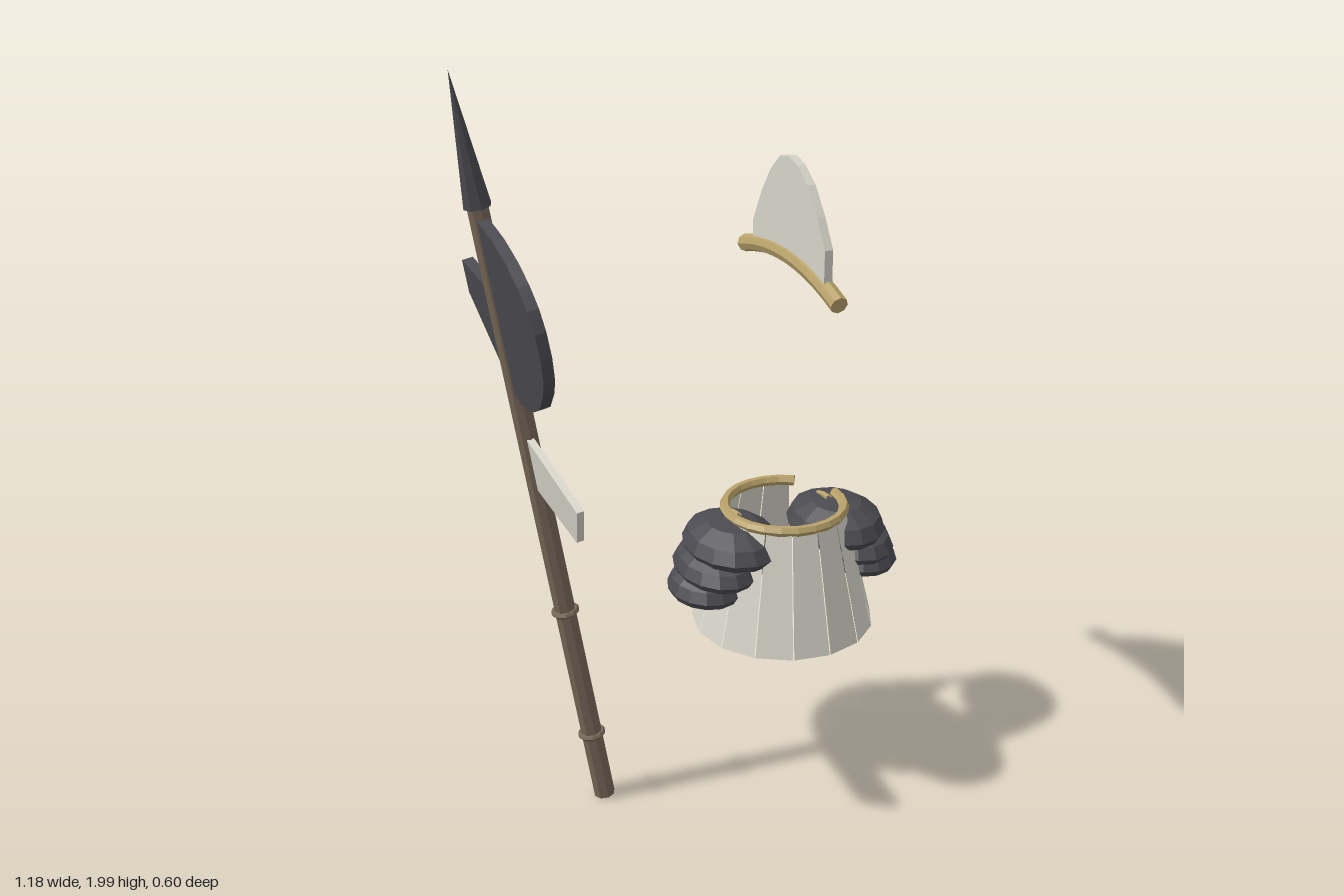
import * as THREE from 'three';

const mat = (name, color) => {
  const m = new THREE.MeshStandardMaterial({ color, flatShading: true, side: THREE.DoubleSide });
  m.name = name;
  return m;
};
const RAD = Math.PI / 180;
const MID_X = 0.26, MID_Z = -0.035; // axis of the armour

export function createModel() {
  const ivory = mat('ivory', 0xd6d4c9);
  const dark = mat('darkSteel', 0x4b4a50);
  const gold = mat('brass', 0xb8a26a);
  const wood = mat('wood', 0x776858);

  const model = new THREE.Group();
  model.name = 'armourAndPolearm';

  const add = (parent, name, geometry, material, x = 0, y = 0, z = 0) => {
    const mesh = new THREE.Mesh(geometry, material);
    mesh.name = name;
    mesh.position.set(x, y, z);
    parent.add(mesh);
    return mesh;
  };

  // Flat plate from (z, y) outline points, centred on x = 0
  const plate = (points, thickness) => {
    const shape = new THREE.Shape(points.map(([z, y]) => new THREE.Vector2(z, y)));
    const g = new THREE.ExtrudeGeometry(shape, { depth: thickness, bevelEnabled: false });
    return g.translate(0, 0, -thickness / 2).rotateY(-Math.PI / 2);
  };

  // Polearm, leaning towards -x
  const polearm = new THREE.Group();
  polearm.name = 'polearm';
  polearm.position.set(-0.262, 0.006, MID_Z);
  polearm.rotation.z = 0.165;
  model.add(polearm);
  add(polearm, 'shaft', new THREE.CylinderGeometry(0.026, 0.028, 1.7, 8), wood, 0, 0.85);
  add(polearm, 'spearHead', new THREE.ConeGeometry(0.034, 0.325, 8), dark, 0, 1.855);
  for (const y of [0.2, 0.585]) {
    add(polearm, 'shaftRing', new THREE.TorusGeometry(0.029, 0.008, 6, 10).rotateX(Math.PI / 2), wood, 0, y);
  }
  add(polearm, 'axeBlade', plate([
    [0, 1.225], [0.065, 1.207], [0.15, 1.222], [0.215, 1.255], [0.27, 1.31], [0.3, 1.355], [0.315, 1.42],
    [0.31, 1.48], [0.29, 1.53], [0.25, 1.575], [0.195, 1.613], [0.12, 1.645], [0, 1.67],
  ], 0.028), dark);
  add(polearm, 'backSpike', plate([
    [0, 1.24], [-0.03, 1.265], [-0.205, 1.412], [-0.205, 1.497], [0, 1.48],
  ], 0.028), dark);
  add(polearm, 'pennant', plate([
    [0, 0.955], [0.28, 0.927], [0.335, 1.033], [0, 1.098],
  ], 0.018), ivory);

  // Helmet crest above a curved brim
  const helmet = new THREE.Group();
  helmet.name = 'helmet';
  helmet.position.set(MID_X, 0, 0);
  model.add(helmet);
  add(helmet, 'crest', plate([
    [0.175, 1.43], [0.175, 1.525], [0.13, 1.595], [0.075, 1.66], [0.02, 1.695], [-0.027, 1.706],
    [-0.075, 1.695], [-0.125, 1.65], [-0.175, 1.58], [-0.223, 1.49], [-0.223, 1.435],
    [-0.1, 1.455], [0.05, 1.455],
  ], 0.022), ivory);
  const brimPath = new THREE.QuadraticBezierCurve3(
    new THREE.Vector3(0, 1.406, 0.235),
    new THREE.Vector3(0, 1.496, -0.027),
    new THREE.Vector3(0, 1.406, -0.29));
  add(helmet, 'brim', new THREE.TubeGeometry(brimPath, 10, 0.023, 8), gold);
  for (const t of [0, 1]) {
    const p = brimPath.getPoint(t);
    add(helmet, 'brimEnd', new THREE.CircleGeometry(0.023, 8), gold, 0, p.y, p.z)
      .lookAt(p.clone().addScaledVector(brimPath.getTangent(t), t ? 1 : -1).add(helmet.position));
  }

  // Flared torso of separate panels, open at the back on one side
  const torso = new THREE.Group();
  torso.name = 'torso';
  torso.position.set(MID_X, 0, MID_Z);
  model.add(torso);
  const STEP = 24, GAP = 0.8;
  for (let i = 0; i < 13; i++) {
    const start = 90 - (-11 + i * STEP) - STEP + GAP / 2;
    add(torso, 'torsoPanel', new THREE.CylinderGeometry(0.163, 0.242, 0.33, 1, 1, true,
      start * RAD, (STEP - GAP) * RAD), ivory, 0, 0.595);
  }
  add(torso, 'collar', new THREE.TorusGeometry(0.157, 0.014, 6, 20, 312 * RAD)
    .rotateX(Math.PI / 2).rotateY(6 * RAD), gold, 0, 0.76);

  // Layered shoulder guards and arm trims, mirrored
  const dome = [[0, -0.3], [0.9, -0.3], [1, 0], [0.88, 0.48], [0.52, 0.86], [0, 1]]
    .map(([r, y]) => new THREE.Vector2(r, y));
  const layers = [ // offset, y, half width, height, half depth
    [0.153, 0.684, 0.125, 0.072, 0.157],
    [0.2, 0.625, 0.104, 0.062, 0.148],
    [0.228, 0.571, 0.097, 0.06, 0.118],
  ];
  for (const side of [-1, 1]) {
    const shoulder = new THREE.Group();
    shoulder.name = side > 0 ? 'leftShoulder' : 'rightShoulder';
    torso.add(shoulder);
    for (const [x, y, rx, h, rz] of layers) {
      add(shoulder, 'shoulderPlate', new THREE.LatheGeometry(dome, 14).scale(rx, h, rz), dark, side * x, y);
    }
    add(shoulder, 'armTrim', new THREE.TorusGeometry(0.15, 0.009, 6, 8, Math.PI / 2).rotateY(Math.PI / 2),
      gold, side * 0.132, 0.605);
  }

  return model;
}
